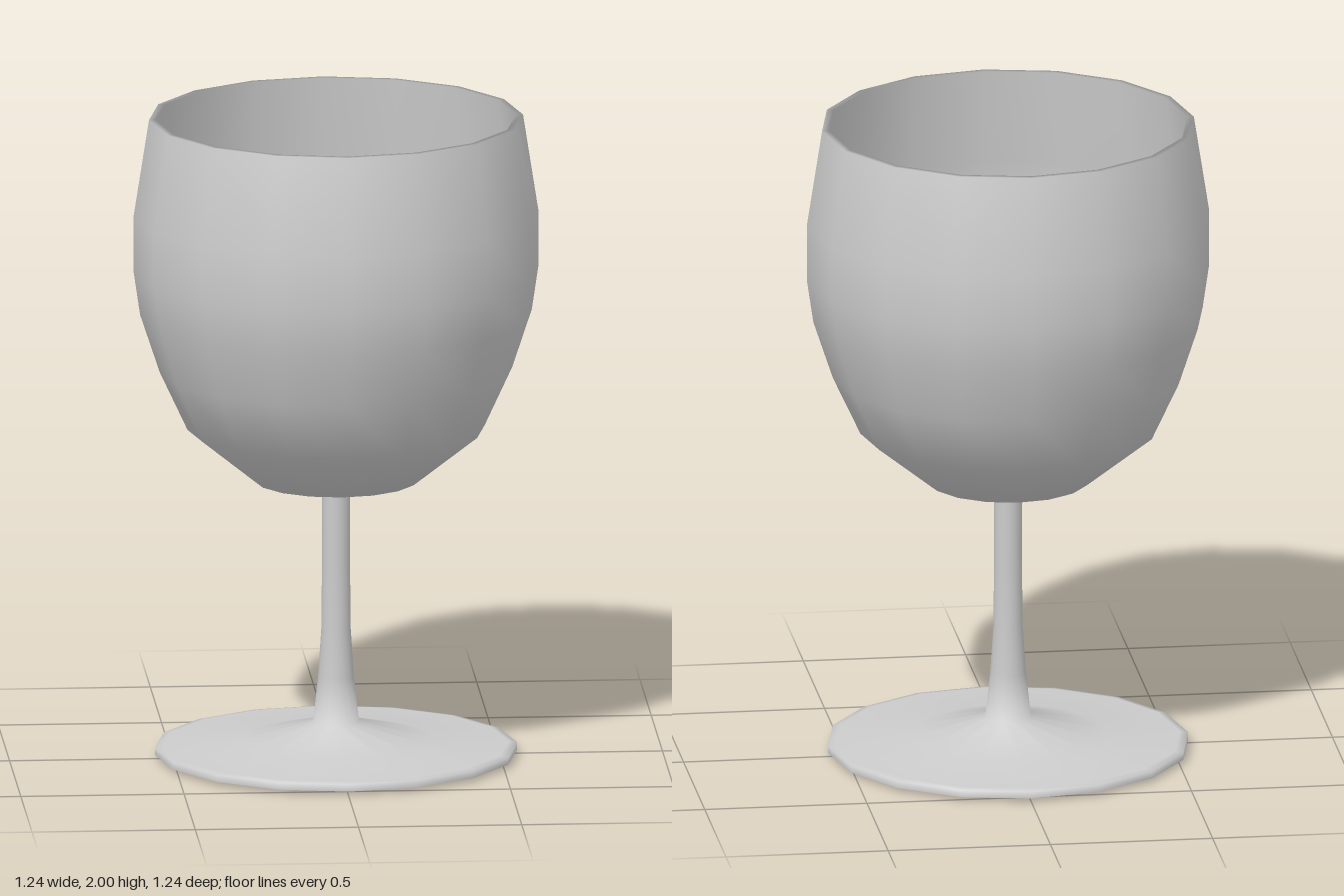
import * as THREE from 'three';

const SIDES = 16;

export function createModel() {
  const group = new THREE.Group();
  const material = new THREE.MeshStandardMaterial({ color: 0xcccccc });

  // Turn a [radius, height] profile around the y axis
  function turned(name, profile) {
    const points = profile.map(([r, y]) => new THREE.Vector2(r, y));
    const mesh = new THREE.Mesh(new THREE.LatheGeometry(points, SIDES), material);
    mesh.name = name;
    group.add(mesh);
  }

  // Shallow underside of the foot
  turned('footUnderside', [[0, 0], [0.1, 0.002], [0.37, 0.007], [0.555, 0.012]]);

  // Thin foot edge sweeping up into the slender stem
  turned('footAndStem', [
    [0.555, 0.012], [0.555, 0.034], [0.53, 0.038], [0.3, 0.053], [0.07, 0.11],
    [0.055, 0.25], [0.045, 0.4], [0.043, 0.6], [0.043, 0.838],
  ]);

  // Bowl: outside upwards, over the rim, then down the inside
  turned('bowl', [
    [0.043, 0.836], [0.25, 0.865], [0.455, 1.028], [0.54, 1.21], [0.6, 1.39],
    [0.62, 1.525], [0.62, 1.7], [0.573, 2],
    [0.552, 2], [0.598, 1.7], [0.598, 1.525], [0.578, 1.39], [0.518, 1.21],
    [0.436, 1.045], [0.24, 0.89], [0, 0.862],
  ]);

  return group;
}
